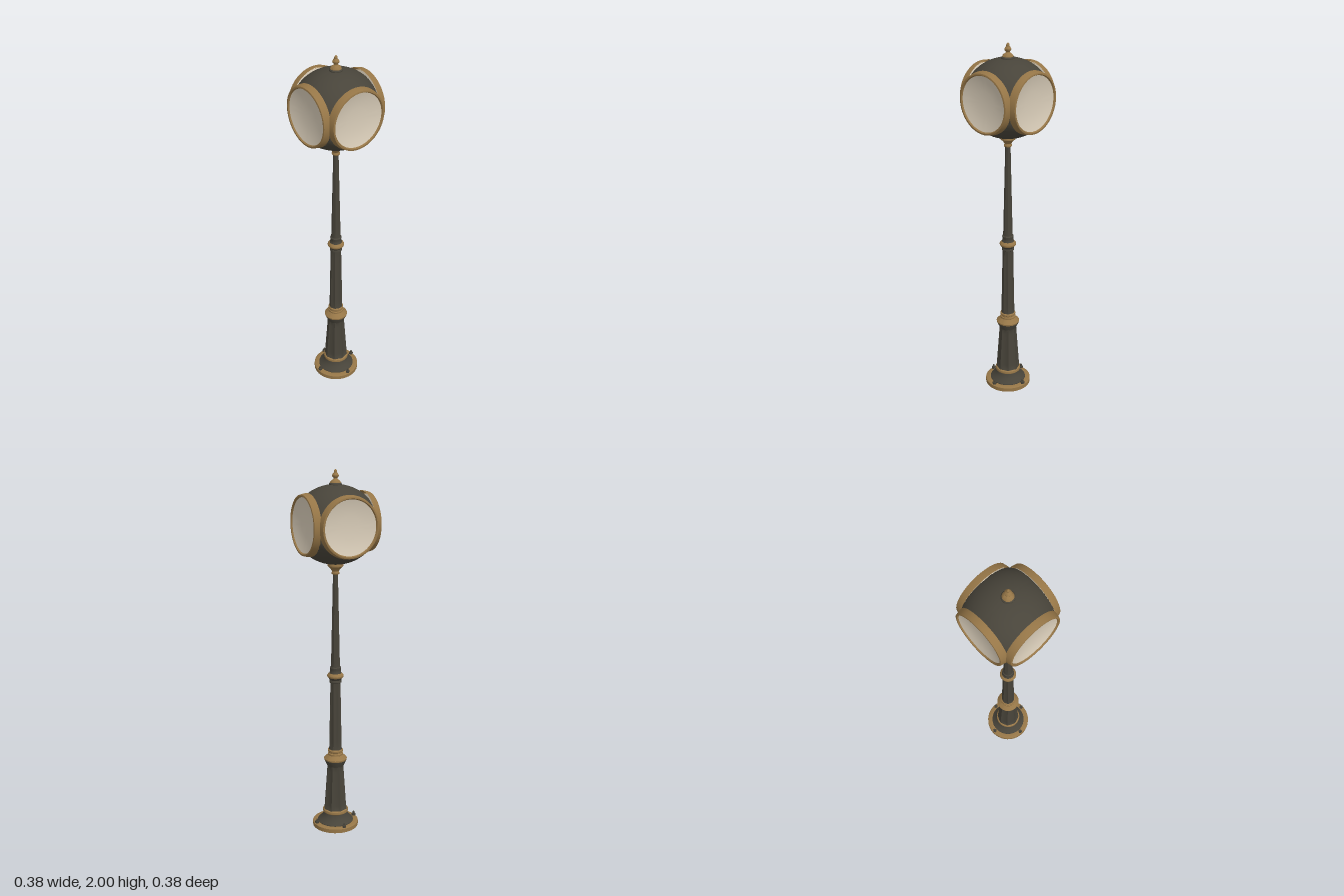
import * as THREE from 'three';
import { toCreasedNormals } from 'three/addons/utils/BufferGeometryUtils.js';

const dark = new THREE.MeshStandardMaterial({ color: 0x48443a, side: THREE.DoubleSide });
dark.name = 'dark bronze';
const gold = new THREE.MeshStandardMaterial({ color: 0x967647, side: THREE.DoubleSide });
gold.name = 'aged brass';
const cream = new THREE.MeshStandardMaterial({ color: 0xd8ccb8, side: THREE.DoubleSide });
cream.name = 'cream dial';

function add(parent, name, geometry, material) {
  const mesh = new THREE.Mesh(geometry, material);
  mesh.name = name;
  parent.add(mesh);
  return mesh;
}

// Turned part: profile of [radius, height] pairs, bottom to top
function turned(profile, segments = 40) {
  const pts = profile.map(([r, y]) => new THREE.Vector2(r, y));
  return toCreasedNormals(new THREE.LatheGeometry(pts, segments), 0.6);
}

// Tapered shaft with scooped flutes that fade out at both ends
function fluted(r0, r1, y0, y1, flutes, depth) {
  const h = y1 - y0;
  const geo = new THREE.CylinderGeometry(1, 1, h, flutes * 10, 16, true);
  geo.translate(0, y0 + h / 2, 0);
  const p = geo.attributes.position;
  for (let i = 0; i < p.count; i++) {
    const t = (p.getY(i) - y0) / h;
    const a = Math.atan2(p.getX(i), p.getZ(i));
    const fade = THREE.MathUtils.smoothstep(Math.min(t, 1 - t), 0.0, 0.08);
    const scoop = Math.pow(Math.abs(Math.sin(a * flutes / 2)), 0.7);
    const r = THREE.MathUtils.lerp(r0, r1, t) * (1 - depth * scoop * fade);
    p.setXYZ(i, r * Math.sin(a), p.getY(i), r * Math.cos(a));
  }
  return toCreasedNormals(geo, 0.5);
}

// Ellipsoid cut flat on its four sides
function headShell() {
  const geo = new THREE.SphereGeometry(1, 96, 64);
  const p = geo.attributes.position;
  const v = new THREE.Vector3();
  for (let i = 0; i < p.count; i++) {
    v.fromBufferAttribute(p, i).normalize();
    const round = 1 / Math.hypot(v.x / 0.226, v.y / 0.208, v.z / 0.226);
    const cut = 0.157 / Math.max(Math.abs(v.x), Math.abs(v.z), 1e-6);
    v.multiplyScalar(Math.min(round, cut));
    p.setXYZ(i, v.x, v.y, v.z);
  }
  return toCreasedNormals(geo, 0.5);
}

function buildBase() {
  const base = new THREE.Group();
  base.name = 'base';
  add(base, 'basePlate', turned([[0.1, 0], [0.128, 0], [0.128, 0.022], [0.122, 0.026], [0.1, 0.026]]), gold);
  add(base, 'baseBell', turned([[0.1, 0.005], [0.1, 0.03], [0.088, 0.04], [0.076, 0.053], [0.067, 0.068], [0.064, 0.08]]), dark);
  add(base, 'baseBand', turned([[0.064, 0.078], [0.071, 0.083], [0.072, 0.09], [0.07, 0.097], [0.062, 0.102]]), gold);
  for (let i = 0; i < 4; i++) {
    const a = i * Math.PI / 2;
    const bolt = new THREE.Group();
    bolt.name = 'anchorBolt';
    bolt.position.set(Math.sin(a) * 0.115, 0, Math.cos(a) * 0.115);
    add(bolt, 'nut', new THREE.CylinderGeometry(0.011, 0.011, 0.012, 6).translate(0, 0.032, 0), dark);
    add(bolt, 'stud', new THREE.CylinderGeometry(0.005, 0.005, 0.026, 10).translate(0, 0.037, 0), dark);
    base.add(bolt);
  }
  return base;
}

function buildPost() {
  const post = new THREE.Group();
  post.name = 'post';
  add(post, 'lowerShaft', fluted(0.066, 0.047, 0.095, 0.365, 8, 0.13), dark);
  add(post, 'lowerCollar', turned([[0.046, 0.36], [0.05, 0.37], [0.06, 0.39], [0.063, 0.4]]), dark);
  add(post, 'lowerCollarRim', turned([[0.063, 0.398], [0.064, 0.406], [0.058, 0.412], [0.046, 0.422], [0.041, 0.427]]), gold);
  add(post, 'lowerBands', turned([[0.039, 0.425], [0.043, 0.428], [0.043, 0.436], [0.038, 0.439], [0.038, 0.445],
    [0.042, 0.448], [0.042, 0.456], [0.034, 0.462]]), gold);
  add(post, 'middleShaft', fluted(0.037, 0.029, 0.455, 0.86, 8, 0.13), dark);
  add(post, 'middleCollar', turned([[0.028, 0.848], [0.033, 0.852], [0.033, 0.861], [0.031, 0.866], [0.042, 0.882]]), dark);
  add(post, 'middleRim', turned([[0.042, 0.88], [0.045, 0.885], [0.045, 0.892], [0.041, 0.898], [0.034, 0.905]]), gold);
  add(post, 'middleNeck', turned([[0.034, 0.903], [0.03, 0.912], [0.029, 0.925], [0.031, 0.93], [0.031, 0.936], [0.024, 0.942]]), dark);
  add(post, 'upperShaft', fluted(0.026, 0.014, 0.938, 1.455, 8, 0.08), dark);
  add(post, 'capitalNeck', turned([[0.014, 1.45], [0.02, 1.453], [0.022, 1.459], [0.019, 1.465], [0.019, 1.472]]), gold);
  add(post, 'capitalCup', turned([[0.019, 1.47], [0.024, 1.478], [0.033, 1.488], [0.041, 1.495], [0.042, 1.505], [0.036, 1.516]]), gold);
  return post;
}

function buildHead() {
  const head = new THREE.Group();
  head.name = 'clockHead';
  head.position.y = 1.72;
  add(head, 'headShell', headShell(), dark).position.y = -0.006;

  // Four identical dials with brass bezels
  const bezel = turned([[0.163, 0.152], [0.163, 0.163], [0.157, 0.189], [0.155, 0.19], [0.148, 0.19], [0.143, 0.181]], 72);
  const dial = turned([[0.146, 0.183], [0.11, 0.173], [0.06, 0.167], [0, 0.165]], 72);
  bezel.rotateX(Math.PI / 2);
  dial.rotateX(Math.PI / 2);
  for (let i = 0; i < 4; i++) {
    const side = new THREE.Group();
    side.name = 'clockFace';
    side.rotation.y = i * Math.PI / 2;
    add(side, 'bezel', bezel, gold);
    add(side, 'dial', dial, cream);
    head.add(side);
  }
  return head;
}

function buildFinial() {
  const finial = new THREE.Group();
  finial.name = 'finial';
  add(finial, 'finialFoot', turned([[0.034, 1.912], [0.034, 1.924], [0.029, 1.93]]), dark);
  add(finial, 'finialDome', turned([[0.029, 1.929], [0.026, 1.937], [0.018, 1.944], [0.01, 1.949], [0.009, 1.954]]), gold);
  add(finial, 'finialTip', turned([[0.009, 1.953], [0.016, 1.96], [0.018, 1.967], [0.014, 1.975], [0.008, 1.981],
    [0.009, 1.986], [0.007, 1.993], [0, 2]], 24), gold);
  return finial;
}

export function createModel() {
  const model = new THREE.Group();
  model.name = 'streetClock';
  model.add(buildBase(), buildPost(), buildHead(), buildFinial());
  return model;
}
